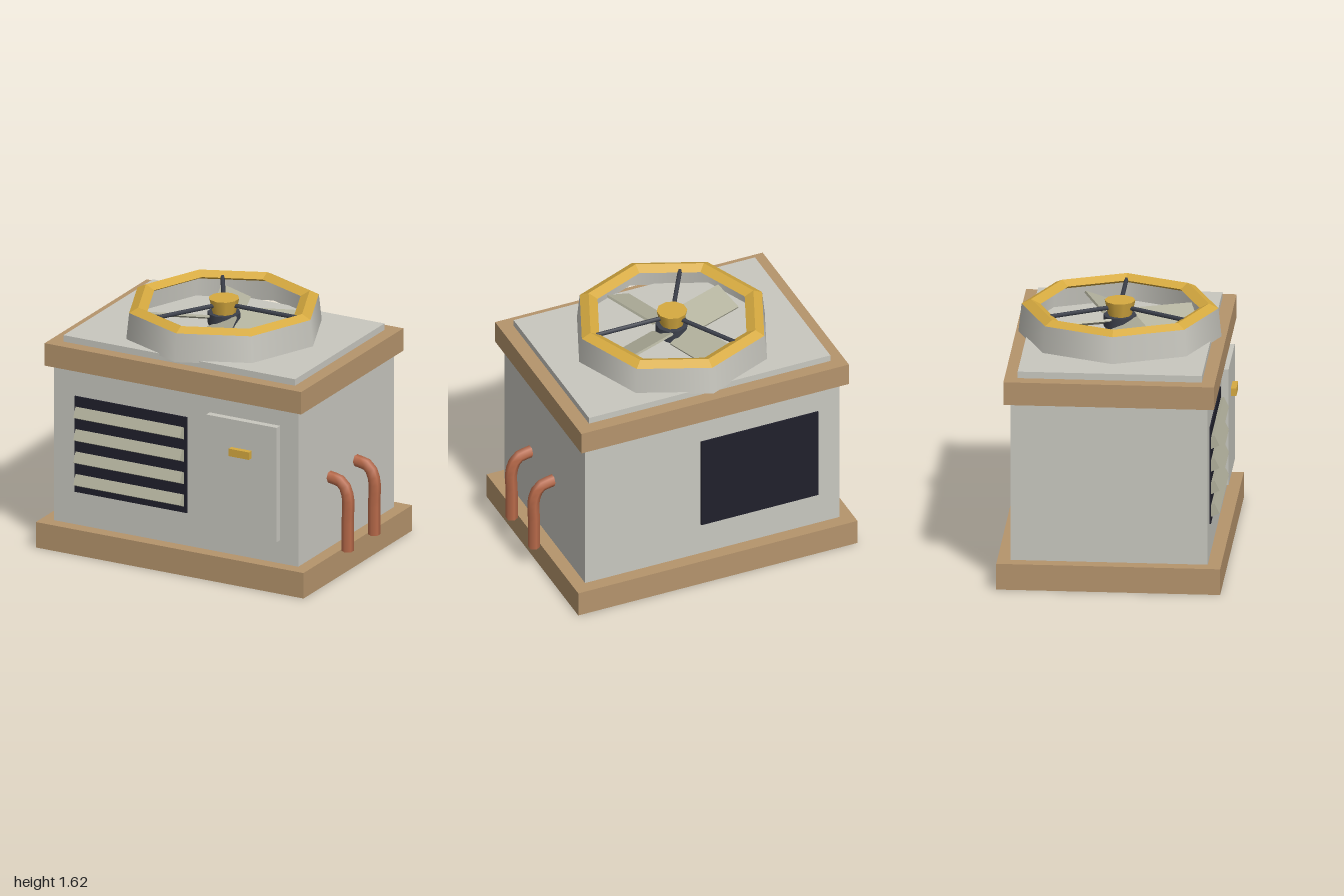
import * as THREE from 'three';

const mat = (name, color, side = THREE.FrontSide) =>
  Object.assign(new THREE.MeshStandardMaterial({ color, side }), { name });

export function createModel() {
  const tan = mat('tan trim', 0xb5946c);
  const casing = mat('pale grey casing', 0xc8c7bf);
  const shell = mat('pale grey shroud', 0xc8c7bf, THREE.DoubleSide);
  const slatGrey = mat('warm grey slats', 0xb2b19d);
  const dark = mat('dark vent', 0x20202c);
  const steel = mat('dark steel', 0x3c404b);
  const gold = mat('yellow', 0xd6aa40);
  const copper = mat('copper', 0xb86a4a);

  const model = new THREE.Group();
  model.name = 'rooftopCoolingUnit';

  const add = (name, geometry, material, parent = model) => {
    const mesh = new THREE.Mesh(geometry, material);
    mesh.name = name;
    parent.add(mesh);
    return mesh;
  };
  // Box given by its limits on each axis
  const block = (name, material, [x0, x1], [y0, y1], [z0, z1]) =>
    add(name, new THREE.BoxGeometry(x1 - x0, y1 - y0, z1 - z0), material)
      .position.set((x0 + x1) / 2, (y0 + y1) / 2, (z0 + z1) / 2);
  const flat = (geometry) => {
    const g = geometry.toNonIndexed();
    g.computeVertexNormals();
    return g;
  };
  const lathe = (points) =>
    new THREE.LatheGeometry(points.map(([r, y]) => new THREE.Vector2(r, y)), 8);

  // Cabinet
  block('basePlinth', tan, [-1, 0.92], [0, 0.17], [-0.705, 0.705]);
  block('cabinet', casing, [-0.915, 0.835], [0.17, 1.21], [-0.62, 0.62]);
  block('topTrim', tan, [-0.96, 0.88], [1.21, 1.36], [-0.663, 0.663]);
  block('topPlate', casing, [-0.87, 0.79], [1.36, 1.403], [-0.58, 0.58]);

  // Access door and handle
  block('accessDoor', casing, [0.2, 0.705], [0.325, 1.09], [0.62, 0.665]);
  block('doorHandle', gold, [0.38, 0.525], [0.855, 0.905], [0.665, 0.7]);

  // Front vent with tilted slats, plain vent on the back
  block('frontVent', dark, [-0.765, 0.04], [0.39, 1.03], [0.62, 0.629]);
  block('backVent', dark, [-0.765, 0.04], [0.39, 1.03], [-0.63, -0.62]);
  for (let i = 0; i < 4; i++) {
    const slat = add('ventSlat', new THREE.BoxGeometry(0.765, 0.072, 0.057), slatGrey);
    slat.position.set(-0.363, 0.925 - i * 0.15, 0.64);
    slat.rotation.x = -0.45;
  }

  // Copper pipes bending into the right-hand wall of the cabinet
  const pipePath = new THREE.CatmullRomCurve3([
    [0.966, 0.17], [0.966, 0.36], [0.966, 0.54], [0.925, 0.62], [0.82, 0.645],
  ].map(([x, y]) => new THREE.Vector3(x, y, 0)));
  for (const z of [0.215, -0.128]) {
    add('copperPipe', new THREE.TubeGeometry(pipePath, 12, 0.0385, 6), copper).position.z = z;
  }

  // Fan assembly
  const fan = new THREE.Group();
  fan.name = 'fan';
  fan.position.x = -0.04;
  model.add(fan);

  add('fanShroud', lathe([[0.64, 1.39], [0.62, 1.575]]), shell, fan);
  add('shroudRim', flat(lathe([
    [0.56, 1.545], [0.62, 1.575], [0.56, 1.605], [0.5, 1.575], [0.56, 1.545],
  ])), gold, fan);

  const disc = (name, rTop, rBottom, y0, y1, material) => {
    const g = new THREE.CylinderGeometry(rTop, rBottom, y1 - y0, 10);
    add(name, g, material, fan).position.y = (y0 + y1) / 2;
  };
  disc('fanShaft', 0.06, 0.06, 1.4, 1.45, steel);
  disc('fanHub', 0.105, 0.105, 1.445, 1.52, steel);
  disc('hubCap', 0.097, 0.075, 1.52, 1.615, gold);

  // Four pitched blades
  for (let i = 0; i < 4; i++) {
    const arm = new THREE.Group();
    arm.name = 'fanBlade';
    arm.rotation.y = THREE.MathUtils.degToRad(20 + i * 90);
    fan.add(arm);
    const blade = add('blade', new THREE.BoxGeometry(0.41, 0.015, 0.2), slatGrey, arm);
    blade.position.set(0.285, 1.48, 0);
    blade.rotation.x = 0.4;
  }

  // Three guard rods from the hub cap to the rim
  for (let i = 0; i < 3; i++) {
    const arm = new THREE.Group();
    arm.name = 'guardRod';
    arm.rotation.y = (i * Math.PI * 2) / 3;
    fan.add(arm);
    const rod = add('rod', new THREE.CylinderGeometry(0.014, 0.014, 0.46, 6), steel, arm);
    rod.position.set(0.295, 1.575, 0);
    rod.rotation.z = Math.PI / 2;
  }

  return model;
}
